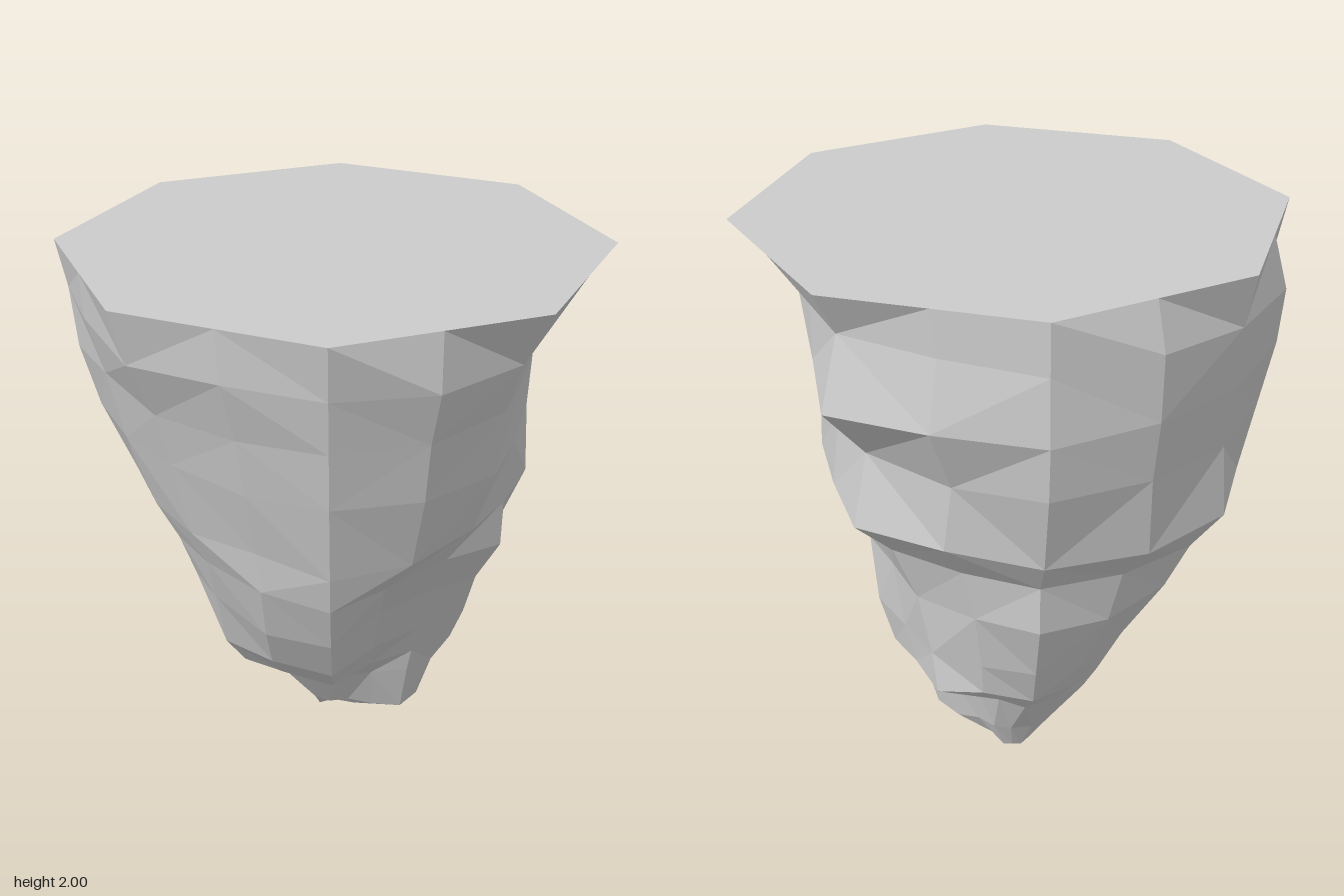
import * as THREE from 'three';

// Cross-sections from top to bottom: height, centre x, centre z,
// then radii every 45 degrees, starting at +x and turning towards +z.
const RINGS = [
  [2.0, 0, 0, [0.925, 0.925, 0.925, 0.925, 0.925, 0.925, 0.925, 0.925]],
  [1.83, 0, 0, [0.82, 0.89, 0.87, 0.89, 0.89, 0.93, 0.84, 0.72]],
  [1.63, 0, 0, [0.76, 0.85, 0.77, 0.87, 0.88, 0.95, 0.92, 0.67]],
  [1.42, 0, 0, [0.73, 0.81, 0.72, 0.81, 0.85, 0.93, 0.74, 0.66]],
  [1.16, 0, 0, [0.65, 0.74, 0.65, 0.70, 0.87, 0.85, 0.81, 0.67]],
  [1.0, 0, 0, [0.54, 0.70, 0.59, 0.60, 0.75, 0.76, 0.64, 0.60]],
  [0.82, -0.05, -0.05, [0.48, 0.68, 0.57, 0.53, 0.64, 0.69, 0.53, 0.52]],
  [0.60, -0.10, -0.10, [0.43, 0.62, 0.54, 0.44, 0.46, 0.53, 0.47, 0.50]],
  [0.46, -0.13, -0.13, [0.40, 0.48, 0.46, 0.35, 0.35, 0.42, 0.45, 0.45]],
  [0.35, -0.12, -0.14, [0.36, 0.27, 0.31, 0.28, 0.31, 0.31, 0.23, 0.34]],
  [0.15, -0.10, -0.17, [0.28, 0.17, 0.18, 0.17, 0.20, 0.18, 0.16, 0.25]],
  [0.05, -0.17, -0.18, [0.09, 0.08, 0.10, 0.08, 0.07, 0.07, 0.09, 0.09]],
];
const TIP = new THREE.Vector3(-0.19, 0, -0.17);
const COLS = 16;

// How far the point between two corners stands out from the straight line
const UPPER_BULGE = [1.12, 1.04, 1.04, 1.1, 1.09, 1.05, 1.02, 1.02];
const LOWER_BULGE = [0.95, 1.09, 1.05, 1.03, 1.05, 1.05, 1.0, 1.17];

function seeded(seed) {
  return () => {
    seed = (seed * 16807) % 2147483647;
    return (seed / 2147483647) * 2 - 1;
  };
}

// One ring of 16 points: 8 corners with bulged points between
function ringPoints([y, cx, cz, radii], rand) {
  const corner = (k) => {
    const a = (k * Math.PI) / 4;
    const r = radii[k % 8];
    return new THREE.Vector3(r * Math.cos(a), 0, r * Math.sin(a));
  };
  const bulge = y > 1.1 ? UPPER_BULGE : LOWER_BULGE;
  const points = [];
  for (let j = 0; j < COLS; j++) {
    const k = Math.floor(j / 2);
    const p = corner(k);
    if (j % 2) p.lerp(corner(k + 1), 0.5).multiplyScalar(y < 2 ? bulge[k] : 1);
    const wobble = y < 2 ? 0.02 * rand() : 0;
    points.push(p.add(new THREE.Vector3(cx, y + wobble, cz)));
  }
  return points;
}

function facetMesh(name, triangles, material) {
  const geometry = new THREE.BufferGeometry().setFromPoints(triangles);
  geometry.computeVertexNormals();
  const mesh = new THREE.Mesh(geometry, material);
  mesh.name = name;
  return mesh;
}

export function createModel() {
  const group = new THREE.Group();
  group.name = 'floatingRock';
  const material = new THREE.MeshStandardMaterial({ color: 0xcccccc, flatShading: true });
  const rand = seeded(77);
  const rings = RINGS.map((ring) => ringPoints(ring, rand));

  // Craggy underside, tapering to an off-centre tip
  const rock = [];
  for (let i = 0; i < rings.length; i++) {
    for (let j = 0; j < COLS; j++) {
      const n = (j + 1) % COLS;
      const a = rings[i][j], b = rings[i][n];
      if (i === rings.length - 1) {
        rock.push(a, b, TIP);
        continue;
      }
      const c = rings[i + 1][j], d = rings[i + 1][n];
      // split each quad along its shorter diagonal
      if (a.distanceTo(d) < b.distanceTo(c)) rock.push(a, b, d, a, d, c);
      else rock.push(a, b, c, b, d, c);
    }
  }
  group.add(facetMesh('rockUnderside', rock, material));

  // Flat eight-sided top
  const top = [];
  const centre = new THREE.Vector3(0, 2, 0);
  for (let j = 0; j < COLS; j++) top.push(centre, rings[0][(j + 1) % COLS], rings[0][j]);
  group.add(facetMesh('flatTop', top, material));

  return group;
}
